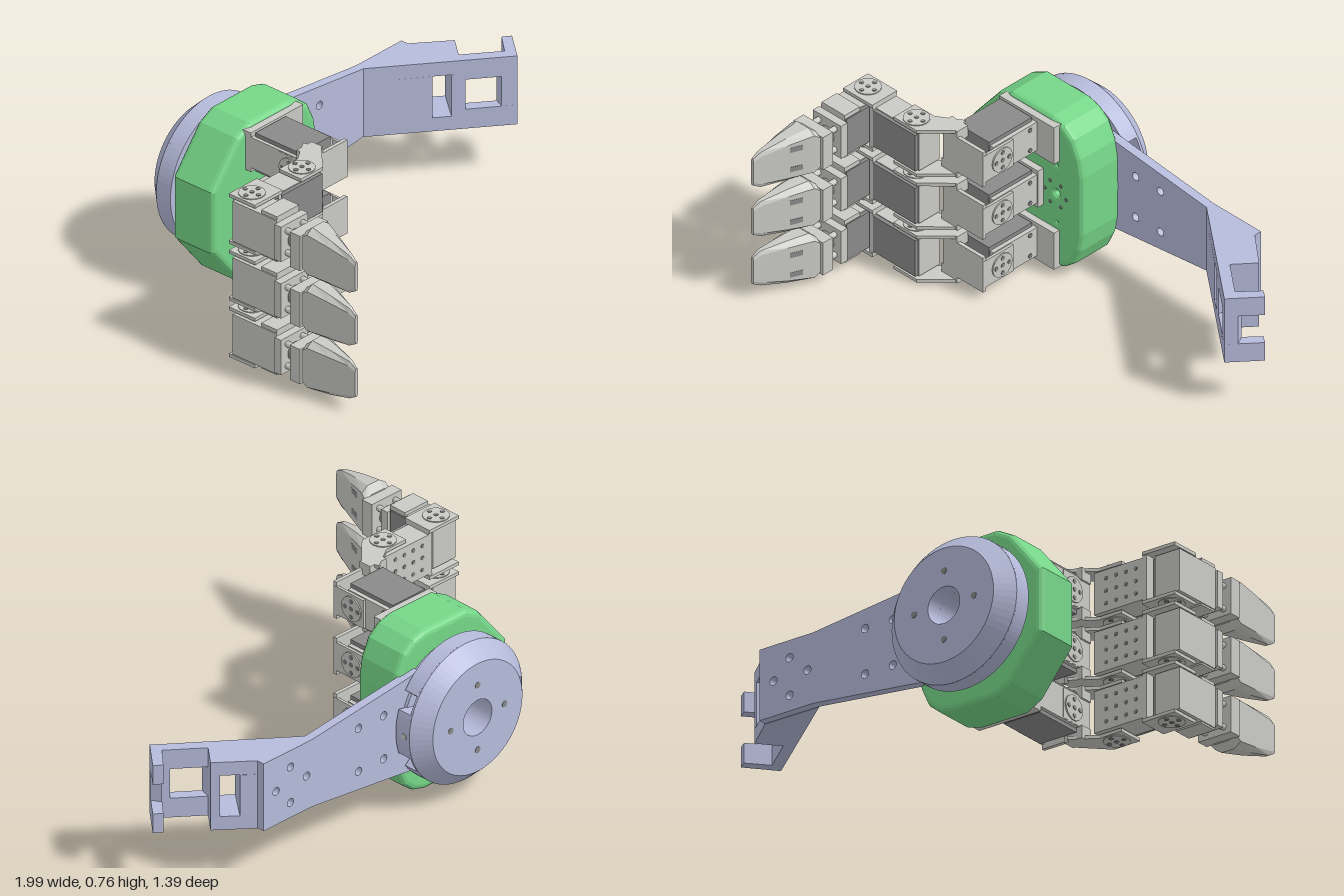
import * as THREE from 'three';

const mat = (name, color) => {
  const m = new THREE.MeshStandardMaterial({ color });
  m.name = name;
  return m;
};

export function createModel() {
  const lavender = mat('lavender', 0xb6bbdb);
  const green = mat('green', 0x76d688);
  const light = mat('lightGrey', 0xc9c9c5);
  const dark = mat('darkGrey', 0x8a8a8a);
  const CY = 0.385, CX = -0.375;
  const root = new THREE.Group();

  const add = (parent, name, geo, m) => {
    const mesh = new THREE.Mesh(geo, m);
    mesh.name = name;
    parent.add(mesh);
    return mesh;
  };
  const box = (parent, name, m, x0, x1, y0, y1, z0, z1) =>
    add(parent, name, new THREE.BoxGeometry(x1 - x0, y1 - y0, z1 - z0)
      .translate((x0 + x1) / 2, (y0 + y1) / 2, (z0 + z1) / 2), m);
  // cylinder centred at p along the given axis
  const cyl = (parent, name, m, r, len, axis, x, y, z, seg = 20) => {
    const g = new THREE.CylinderGeometry(r, r, len, seg);
    if (axis === 'x') g.rotateZ(Math.PI / 2);
    if (axis === 'z') g.rotateX(Math.PI / 2);
    return add(parent, name, g.translate(x, y, z), m);
  };
  const shapeOf = (pts) => new THREE.Shape(pts.map(([a, b]) => new THREE.Vector2(a, b)));
  const circle = (x, y, r) => new THREE.Path().absarc(x, y, r, 0, Math.PI * 2, true);
  // prism from an x-z outline between two heights
  const slab = (parent, name, m, pts, y0, y1) =>
    add(parent, name, new THREE.ExtrudeGeometry(shapeOf(pts), { depth: y1 - y0, bevelEnabled: false })
      .rotateX(Math.PI / 2).translate(0, y1, 0), m);
  // prism from an x-y shape between two depths
  const plate = (parent, name, m, shape, z0, z1) =>
    add(parent, name, new THREE.ExtrudeGeometry(shape, { depth: z1 - z0, bevelEnabled: false, curveSegments: 24 })
      .translate(0, 0, z0), m);

  // ---- palm ----
  const palm = new THREE.Group();
  palm.name = 'palm';
  root.add(palm);
  const inset = 0.025;
  const half = [[-0.10, 0.15], [-0.115, 0.235], [-0.15, 0.31], [-0.20, 0.35], [-0.26, 0.367], [-0.50, 0.367], [-0.57, 0.33], [-0.725, 0.14]];
  const outline = [...half, ...half.slice().reverse().map(([x, y]) => [x, -y])]
    .map(([x, y]) => [CX + (x - CX) * (1 - inset / 0.32), CY + y * (1 - inset / 0.37)]);
  const palmShape = shapeOf(outline);
  palmShape.holes.push(circle(-0.24, CY, 0.035));
  [-0.14, 0.14].forEach((d) => palmShape.holes.push(circle(-0.235, CY + d, 0.02)));
  add(palm, 'palmShell', new THREE.ExtrudeGeometry(palmShape, {
    depth: 0.17, bevelThickness: 0.025, bevelSize: inset, bevelSegments: 3, curveSegments: 10,
  }).translate(0, 0, -0.49), green);
  for (let i = 0; i < 6; i++) {
    const a = i * Math.PI / 3;
    cyl(palm, 'palmScrew', dark, 0.007, 0.006, 'z', -0.24 + 0.06 * Math.cos(a), CY + 0.06 * Math.sin(a), -0.294, 8);
  }

  // ---- round mount behind the palm ----
  const mount = new THREE.Group();
  mount.name = 'mount';
  root.add(mount);
  const lathe = (name, m, pts) => add(mount, name,
    new THREE.LatheGeometry(pts.map(([r, z]) => new THREE.Vector2(r, z)), 64)
      .rotateX(-Math.PI / 2).translate(CX, CY, 0).toNonIndexed(), m);
  // profile heights run backwards (towards -z)
  const dish = lathe('mountDish', lavender, [[0.08, 0.62], [0.315, 0.62], [0.315, 0.63], [0.25, 0.698], [0.08, 0.698], [0.08, 0.62]]);
  dish.geometry.computeVertexNormals();
  lathe('mountRing', lavender, [[0.08, 0.50], [0.275, 0.50], [0.275, 0.56], [0.08, 0.56], [0.08, 0.50]]).geometry.computeVertexNormals();
  // outer rim with two slots on the arm side
  const rim = [];
  for (let i = 0; i <= 96; i++) {
    const a = (i / 96) * Math.PI * 2 - Math.PI;
    const r = Math.abs(Math.abs(a) - 0.47) < 0.11 ? 0.22 : 0.315;
    if (i < 96) rim.push([CX + r * Math.cos(a), CY + r * Math.sin(a)]);
  }
  const rimShape = shapeOf(rim);
  rimShape.holes.push(circle(CX, CY, 0.08));
  plate(mount, 'mountRim', lavender, rimShape, -0.625, -0.553);
  for (let i = 0; i < 4; i++) {
    const a = i * Math.PI / 2;
    cyl(mount, 'mountScrew', dark, 0.014, 0.006, 'z', CX + 0.15 * Math.cos(a), CY + 0.15 * Math.sin(a), -0.697, 12);
  }
  cyl(mount, 'rimScrew', light, 0.014, 0.006, 'x', CX + 0.315, CY, -0.6, 12);

  // ---- arm plate and hooked end ----
  const arm = new THREE.Group();
  arm.name = 'arm';
  root.add(arm);
  const armShape = shapeOf([[-0.2, 0.16], [-0.08, 0.175], [0.40, 0.23], [0.67, 0.23], [0.67, 0.542], [0.40, 0.542], [-0.08, 0.595], [-0.2, 0.61]]);
  [[0, 0.485], [0.14, 0.485], [0, 0.285], [0.14, 0.285], [0.52, 0.465], [0.43, 0.385], [0.60, 0.385], [0.52, 0.30]]
    .forEach(([x, y]) => armShape.holes.push(circle(x, y, 0.018)));
  plate(arm, 'armPlate', lavender, armShape, -0.545, -0.505);

  const wedgeLeft = [[0.40, -0.506], [0.67, -0.51], [0.726, -0.467], [0.62, -0.332]];
  const wedgeRight = [[0.68, -0.285], [0.786, -0.415], [0.815, -0.39], [0.74, -0.30], [0.725, -0.25]];
  const hook = [[0.74, -0.30], [0.885, -0.185], [0.96, -0.27], [0.995, -0.245], [0.89, -0.12], [0.725, -0.25]];
  const full = [...wedgeLeft.slice(0, 2), [0.815, -0.39], ...hook.slice(0, 5)];
  const crossBar = [[0.86, -0.205], [0.885, -0.185], [0.902, -0.204], [0.925, -0.162], [0.89, -0.12], [0.84, -0.16]];
  [-1, 1].forEach((s) => {
    const band = (name, pts, a, b) =>
      slab(arm, name, lavender, pts, CY + Math.min(s * a, s * b), CY + Math.max(s * a, s * b));
    band('hookSide', full, 0.095, 0.157);
    band('hookInnerWedge', wedgeLeft, 0, 0.095);
    band('hookInnerWedge', wedgeRight, 0, 0.095);
    band('hookCheek', hook, 0.068, 0.095);
    band('hookCrossBar', crossBar, 0, 0.068);
  });

  // ---- fingers ----
  // cross-section loft for the fingertip: rows of [z, xMin, xMax, yCentre, yHalf]
  const tipGeometry = (tilt) => {
    const rows = [[0.42, -0.985, -0.845, 0, 0.085], [0.45, -0.985, -0.855, 0, 0.112], [0.55, -0.98, -0.895, tilt * 0.4, 0.102],
      [0.66, -0.972, -0.94, tilt, 0.085], [0.695, -0.968, -0.952, tilt, 0.065]];
    const pos = [], idx = [];
    rows.forEach(([z, a, b, c, h]) => {
      const cx = (b - a) * 0.25, cy = h * 0.2;
      [[a + cx, -h], [b - cx, -h], [b, -h + cy], [b, h - cy], [b - cx, h], [a + cx, h], [a, h - cy], [a, -h + cy]]
        .forEach(([x, y]) => pos.push(x, c + y, z));
    });
    for (let r = 0; r < rows.length - 1; r++) {
      for (let i = 0; i < 8; i++) {
        const p = r * 8 + i, q = r * 8 + (i + 1) % 8;
        idx.push(p, q, q + 8, p, q + 8, p + 8);
      }
    }
    const end = (rows.length - 1) * 8;
    for (let i = 1; i < 7; i++) idx.push(0, i + 1, i, end, end + i, end + i + 1);
    const g = new THREE.BufferGeometry();
    g.setAttribute('position', new THREE.Float32BufferAttribute(pos, 3));
    g.setIndex(idx);
    const flat = g.toNonIndexed();
    flat.computeVertexNormals();
    return flat;
  };
  // horn disc with five screw heads, facing along the axis
  const horn = (parent, axis, x, y, z, s) => {
    cyl(parent, 'horn', light, 0.055, 0.012, axis, x, y, z);
    [[0, 0], [1, 0], [-1, 0], [0, 1], [0, -1]].forEach(([u, v]) => {
      const a = u * 0.036, b = v * 0.036;
      if (axis === 'x') cyl(parent, 'hornScrew', dark, 0.01, 0.004, 'x', x + s * 0.007, y + a, z + b, 8);
      else cyl(parent, 'hornScrew', dark, 0.01, 0.004, 'y', x + a, y + s * 0.007, z + b, 8);
    });
  };
  const link = [[-0.48, -0.03], [-0.59, 0.04], [-0.70, 0.04], [-0.70, 0.16], [-0.57, 0.16], [-0.46, 0.05]];

  [-1, 0, 1].forEach((k) => {
    const f = new THREE.Group();
    f.name = ['bottomFinger', 'middleFinger', 'topFinger'][k + 1];
    f.position.y = CY + k * 0.26;
    root.add(f);

    // base bracket on the palm
    const [bx0, bx1] = k ? [-0.53, -0.22] : [-0.60, -0.31];
    box(f, 'baseBracket', light, bx0, bx1, -0.09, 0.09, -0.31, -0.265);
    // first servo and its yoke
    box(f, 'firstServo', dark, -0.515, -0.335, -0.088, 0.088, -0.255, -0.015);
    box(f, 'firstServoCap', light, -0.53, -0.316, -0.07, 0.07, -0.27, -0.02);
    [-0.525, -0.31].forEach((x, i) => {
      const s = i ? 1 : -1;
      box(f, 'yokeSide', light, x - 0.006, x + 0.006, -0.065, 0.065, -0.12, 0.05);
      horn(f, 'x', x + s * 0.006, 0, -0.055, s);
      [-0.05, 0.05].forEach((y) => cyl(f, 'servoScrew', dark, 0.01, 0.004, 'x', x - s * 0.004, y, -0.225, 8));
    });
    box(f, 'yokeBase', light, -0.53, -0.305, -0.085, 0.085, 0.033, 0.05);
    // second servo, pivoting on two link plates
    box(f, 'secondServo', dark, -0.815, -0.575, -0.088, 0.088, 0.045, 0.162);
    box(f, 'secondServoCap', light, -0.82, -0.57, -0.092, 0.092, 0.03, 0.145);
    for (let i = 0; i < 4; i++) {
      for (let j = 0; j < 3; j++) {
        cyl(f, 'capHole', dark, 0.009, 0.004, 'z', -0.78 + i * 0.05, (j - 1) * 0.055, 0.029, 8);
      }
    }
    // third servo
    box(f, 'thirdServo', dark, -0.97, -0.845, -0.088, 0.088, 0.06, 0.28);
    box(f, 'thirdServoCap', light, -0.985, -0.86, -0.092, 0.092, 0.05, 0.285);
    box(f, 'thirdServoCollar', light, -0.98, -0.85, -0.1, 0.108, 0.20, 0.285);
    [-1, 1].forEach((s) => {
      const y0 = Math.min(s * 0.1, s * 0.115), y1 = Math.max(s * 0.1, s * 0.115);
      slab(f, 'linkPlate', light, link, y0, y1);
      box(f, 'linkFlange', light, -0.54, -0.45, Math.min(s * 0.06, s * 0.115), Math.max(s * 0.06, s * 0.115), -0.01, 0.05);
      horn(f, 'y', -0.63, s * 0.113, 0.10, s);
      box(f, 'outerFork', light, -0.98, -0.815, y0, y1, 0.025, 0.165);
      horn(f, 'y', -0.915, s * 0.113, 0.09, s);
    });
    box(f, 'forkBridge', light, -0.835, -0.815, -0.11, 0.11, 0.03, 0.16);

    // neck and fingertip
    box(f, 'neckFlange', light, -0.995, -0.835, -0.08, 0.08, 0.285, 0.32);
    cyl(f, 'neckCore', dark, 0.04, 0.1, 'z', -0.915, 0, 0.35);
    [[-1, -1], [-1, 1], [1, -1], [1, 1]].forEach(([u, v]) =>
      cyl(f, 'neckRod', light, 0.013, 0.1, 'z', -0.915 + u * 0.045, v * 0.05, 0.35, 10));
    box(f, 'tipCollar', light, -0.998, -0.832, -0.08, 0.08, 0.37, 0.425);
    add(f, 'fingertip', tipGeometry(-0.017 * k), light);
    [-1, 1].forEach((s) => {
      const slot = box(f, 'tipSlot', dark, -0.003, 0.003, -0.012, 0.012, -0.028, 0.028);
      slot.position.set(-0.886, s * 0.048, 0.522);
      slot.rotation.y = -0.38;
    });
  });

  return root;
}
